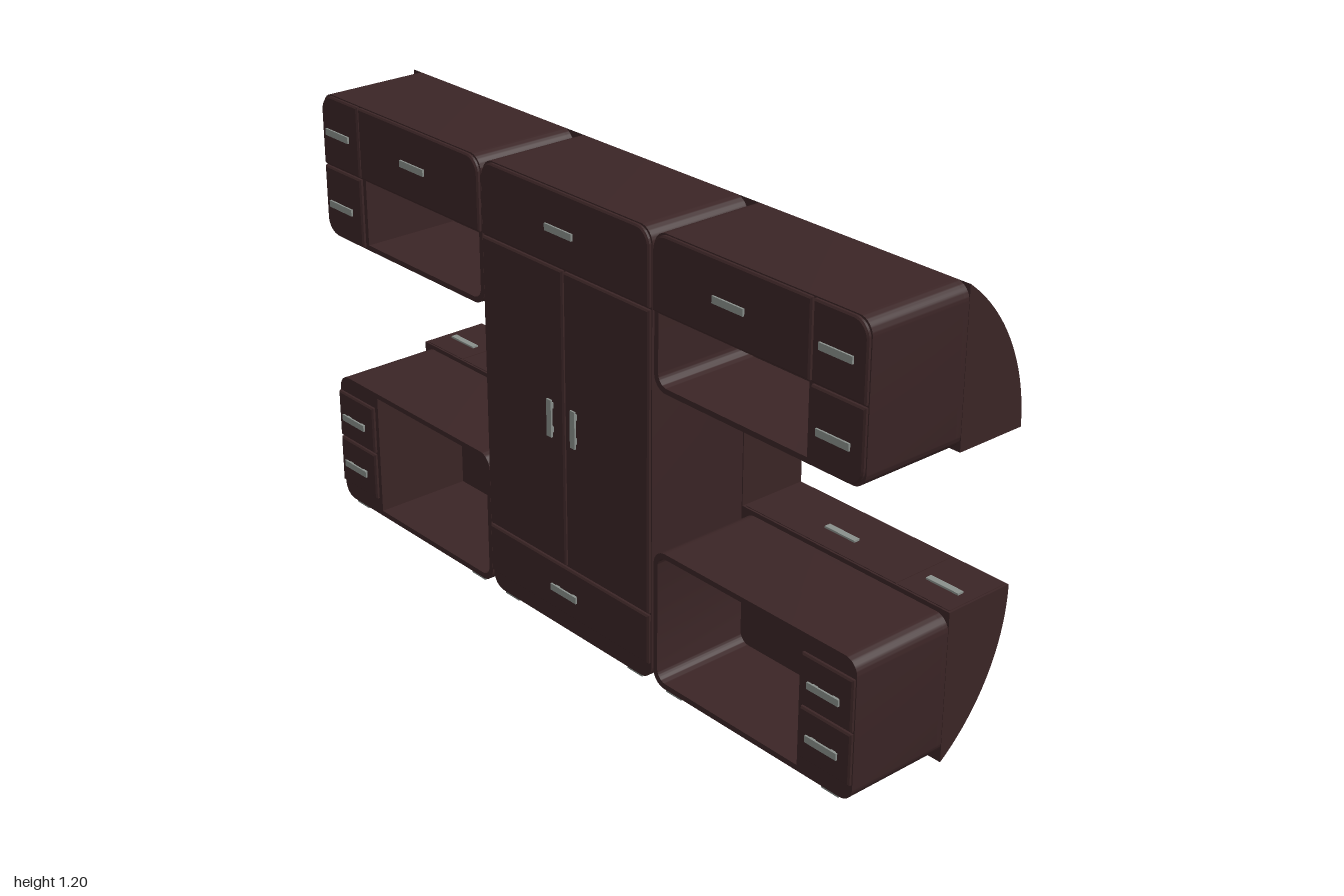
import * as THREE from 'three';
import { toCreasedNormals } from 'three/addons/utils/BufferGeometryUtils.js';

const wood = new THREE.MeshStandardMaterial({ color: 0x3b2526 });
wood.name = 'darkWood';
const metal = new THREE.MeshStandardMaterial({ color: 0x8a908c });
metal.name = 'greyMetal';

const BACK = -0.055, FRONT = 0.237, FACE = 0.247, SPLIT = 0.317;

// Rounded rectangle; radii r = [topInner, topOuter, bottomOuter, bottomInner], flipped when side is -1
function roundRect(Kind, side, x0, x1, y0, y1, r) {
  let [tl, tr, br, bl] = r;
  if (side < 0) {
    [x0, x1] = [-x1, -x0];
    [tl, tr, br, bl] = [tr, tl, bl, br];
  }
  const p = new Kind();
  p.moveTo(x0 + bl, y0);
  p.lineTo(x1 - br, y0);
  if (br) p.absarc(x1 - br, y0 + br, br, -Math.PI / 2, 0, false);
  p.lineTo(x1, y1 - tr);
  if (tr) p.absarc(x1 - tr, y1 - tr, tr, 0, Math.PI / 2, false);
  p.lineTo(x0 + tl, y1);
  if (tl) p.absarc(x0 + tl, y1 - tl, tl, Math.PI / 2, Math.PI, false);
  p.lineTo(x0, y0 + bl);
  if (bl) p.absarc(x0 + bl, y0 + bl, bl, Math.PI, Math.PI * 1.5, false);
  return p;
}

function add(parent, name, geometry, material = wood) {
  const mesh = new THREE.Mesh(geometry, material);
  mesh.name = name;
  parent.add(mesh);
  return mesh;
}

function extrude(shape, z0, z1) {
  const g = new THREE.ExtrudeGeometry(shape, { depth: z1 - z0, bevelEnabled: false, curveSegments: 8 });
  return toCreasedNormals(g.translate(0, 0, z0), 0.6);
}

// Drawer front or door with a small chamfer and a gap around it
function panel(parent, name, side, x0, x1, y0, y1, r = [0, 0, 0, 0]) {
  const b = 0.004, gap = 0.003 + b;
  const shape = roundRect(THREE.Shape, side, x0 + gap, x1 - gap, y0 + gap, y1 - gap, r);
  const g = new THREE.ExtrudeGeometry(shape, {
    depth: FACE - FRONT - b, bevelThickness: b, bevelSize: b, bevelSegments: 1, curveSegments: 6,
  });
  add(parent, name, toCreasedNormals(g.translate(0, 0, FRONT), 0.6));
}

// Bar handle on two posts; lies along x and points towards +z before turning
function handle(parent, name, x, y, z, out = 0.012) {
  const h = new THREE.Group();
  h.name = name;
  const bar = add(h, 'handleBar', new THREE.BoxGeometry(0.1, 0.018, 0.005), metal);
  bar.position.z = out - 0.0025;
  for (const s of [-1, 1]) {
    const post = add(h, 'handlePost', new THREE.BoxGeometry(0.016, 0.009, out - 0.003), metal);
    post.position.set(s * 0.032, 0, (out - 0.003) / 2);
  }
  h.position.set(x, y, z);
  parent.add(h);
  return h;
}

function foot(parent, x, z) {
  const base = add(parent, 'foot', new THREE.BoxGeometry(0.035, 0.007, 0.03), metal);
  base.position.set(x, 0.0035, z);
  const stem = add(parent, 'footStem', new THREE.BoxGeometry(0.055, 0.01, 0.044), metal);
  stem.position.set(x, 0.011, z);
}

// Curved rear compartment: profile drawn with depth to the right, extruded along x
function shell(parent, name, x0, x1, low, high) {
  const a = Math.atan2(0.4, 0.3), p = new THREE.Shape();
  if (low) {
    p.moveTo(0.055, 0);
    p.absarc(-0.245, 0.4, 0.5, -a, 0, false);
  } else {
    p.moveTo(0.055, 0.803);
    p.lineTo(0.255, 0.803);
  }
  if (high) {
    p.absarc(-0.245, 0.8, 0.5, low ? 0 : 0.006, a, false);
  } else {
    p.lineTo(0.055, 0.4);
  }
  p.closePath();
  const g = new THREE.ExtrudeGeometry(p, { depth: x1 - x0, bevelEnabled: false, curveSegments: 24 });
  g.rotateY(Math.PI / 2).translate(x0, 0, 0);
  add(parent, name, toCreasedNormals(g, 0.5));
}

export function createModel() {
  const model = new THREE.Group();
  model.name = 'wallUnit';

  // Central wardrobe
  const wardrobe = new THREE.Group();
  wardrobe.name = 'wardrobe';
  model.add(wardrobe);
  const R = 0.04;
  add(wardrobe, 'wardrobeBody',
    extrude(roundRect(THREE.Shape, 1, -0.314, 0.314, 0.015, 1.2, [R, R, R, R]), BACK, FRONT));
  panel(wardrobe, 'topDrawer', 1, -0.314, 0.314, 1.003, 1.2, [R, R, 0, 0]);
  panel(wardrobe, 'bottomDrawer', 1, -0.314, 0.314, 0.062, 0.203);
  handle(wardrobe, 'drawerHandle', 0, 1.103, FACE);
  handle(wardrobe, 'drawerHandle', 0, 0.132, FACE);
  for (const s of [-1, 1]) {
    panel(wardrobe, 'door', s, 0, 0.314, 0.203, 1.003);
    handle(wardrobe, 'doorHandle', s * 0.045, 0.605, FACE).rotation.z = Math.PI / 2;
    for (const z of [0.21, -0.03]) foot(wardrobe, s * 0.245, z);
  }
  shell(wardrobe, 'rearCompartment', -SPLIT, SPLIT, true, true);
  // Side hatch of the rear compartment, on one side only
  const hatch = add(wardrobe, 'sideHatch', new THREE.BoxGeometry(0.003, 0.39, 0.19));
  hatch.position.set(-SPLIT, 0.6, -0.155);
  handle(wardrobe, 'hatchHandle', -SPLIT, 0.605, -0.13).rotation.set(0, -Math.PI / 2, Math.PI / 2, 'YXZ');

  for (const s of [-1, 1]) {
    const x0 = s > 0 ? SPLIT : -1, x1 = s > 0 ? 1 : -SPLIT;
    const block = (group, name, y0, y1, hole) => {
      const shape = roundRect(THREE.Shape, s, 0.321, 0.999, y0, y1, [R, R, R, R]);
      add(group, name + 'Back', extrude(shape, BACK, -0.04));
      const frame = shape.clone();
      frame.holes.push(hole);
      add(group, name + 'Frame', extrude(frame, -0.04, FRONT));
    };

    // Hanging cabinet with an open shelf below its wide drawer
    const upper = new THREE.Group();
    upper.name = s > 0 ? 'leftUpperCabinet' : 'rightUpperCabinet';
    model.add(upper);
    block(upper, 'upper', 0.806, 1.2,
      roundRect(THREE.Path, s, 0.335, 0.822, 0.82, 1.0, [0, 0, 0, 0.03]));
    panel(upper, 'wideDrawer', s, 0.321, 0.832, 1.003, 1.2, [R, 0, 0, 0]);
    panel(upper, 'smallDrawer', s, 0.832, 0.999, 1.003, 1.2, [0, R, 0, 0]);
    panel(upper, 'smallDrawer', s, 0.832, 0.999, 0.808, 1.003, [0, 0, R, 0]);
    handle(upper, 'drawerHandle', s * 0.585, 1.103, FACE);
    for (const y of [1.103, 0.903]) handle(upper, 'drawerHandle', s * 0.915, y, FACE);
    shell(upper, 'upperRearCompartment', x0, x1, false, true);

    // Desk cabinet with a large niche
    const lower = new THREE.Group();
    lower.name = s > 0 ? 'leftLowerCabinet' : 'rightLowerCabinet';
    model.add(lower);
    block(lower, 'lower', 0.015, 0.388,
      roundRect(THREE.Path, s, 0.335, 0.822, 0.03, 0.374, [0.03, 0, 0, 0.03]));
    for (const [y0, y1] of [[0.062, 0.203], [0.203, 0.344]]) {
      panel(lower, 'smallDrawer', s, 0.832, 0.999, y0, y1);
      handle(lower, 'drawerHandle', s * 0.915, (y0 + y1) / 2, FACE);
    }
    for (const x of [0.39, 0.925]) for (const z of [0.21, -0.03]) foot(lower, s * x, z);
    shell(lower, 'lowerRearCompartment', x0, x1, true, false);

    // Hatches on the flat faces of the rear compartments
    for (const [a, b, hx] of [[0.323, 0.828, 0.585], [0.834, 0.994, 0.915]]) {
      for (const [group, y, dir] of [[lower, 0.4, -1], [upper, 0.803, 1]]) {
        const lid = add(group, 'compartmentHatch', new THREE.BoxGeometry(b - a, 0.003, 0.185));
        lid.position.set(s * (a + b) / 2, y, -0.153);
        handle(group, 'hatchHandle', s * hx, y, -0.13, 0.01).rotation.x = dir * Math.PI / 2;
      }
    }
  }
  return model;
}
